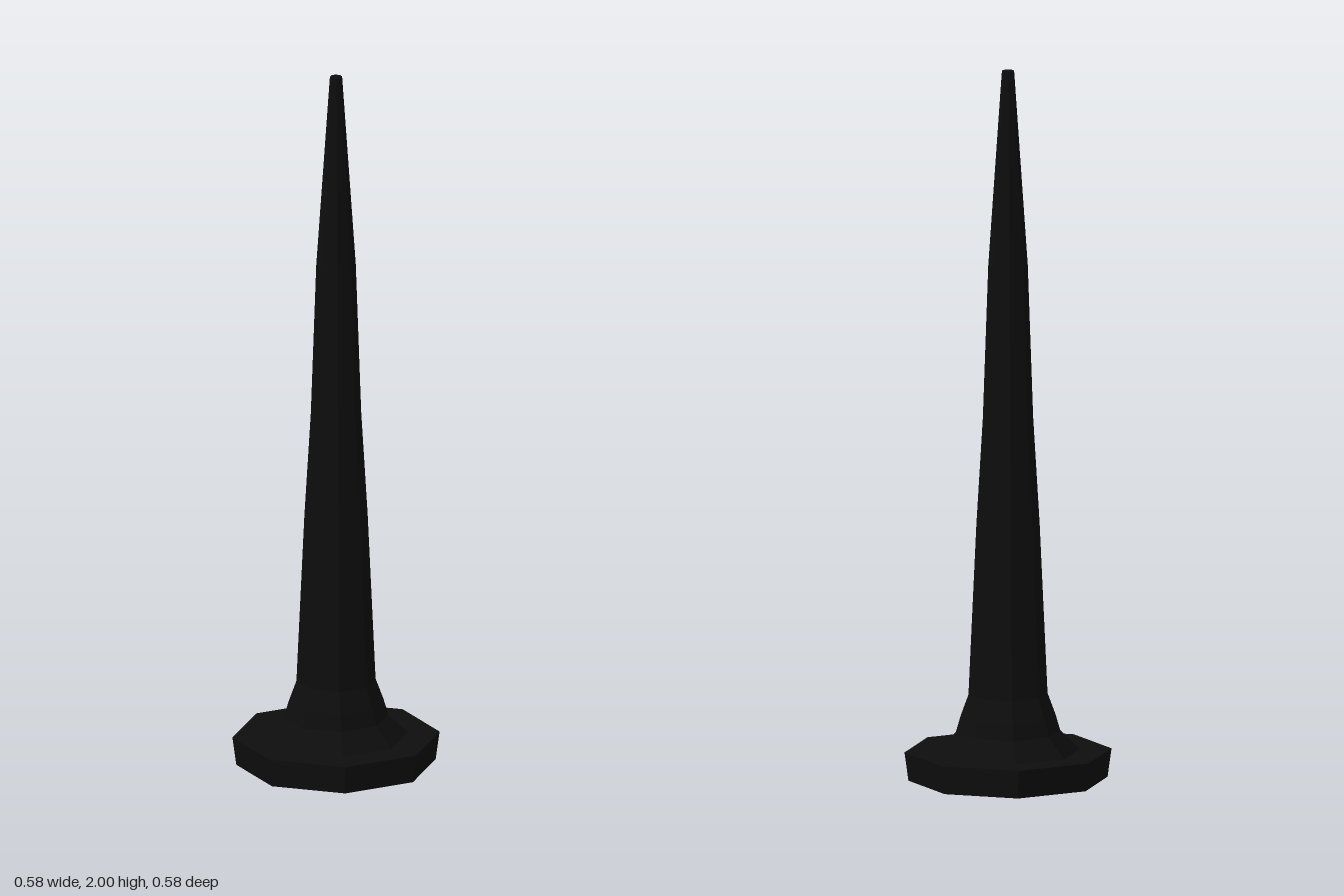
import * as THREE from 'three';

export function createModel() {
  const model = new THREE.Group();
  model.name = 'spike';
  const black = new THREE.MeshStandardMaterial({ color: 0x0d0d0d, flatShading: true });
  black.name = 'black';

  // Eight-sided solid turned from [radius, height] pairs, listed bottom to top
  function turned(name, profile) {
    const points = profile.map(([r, y]) => new THREE.Vector2(r, y));
    const mesh = new THREE.Mesh(new THREE.LatheGeometry(points, 8), black);
    mesh.name = name;
    model.add(mesh);
  }

  // Flat foot, slightly wider at its top edge
  turned('base', [[0, 0], [0.277, 0], [0.288, 0.08], [0.2, 0.08]]);

  // Flared collar joining foot and shaft
  turned('collar', [[0.2, 0.08], [0.145, 0.135], [0.132, 0.18], [0.11, 0.24]]);

  // Long tapering shaft with a small flat tip
  turned('shaft', [[0.11, 0.24], [0.088, 0.72], [0.07, 1.02], [0.055, 1.45], [0.017, 2], [0, 2]]);

  return model;
}
